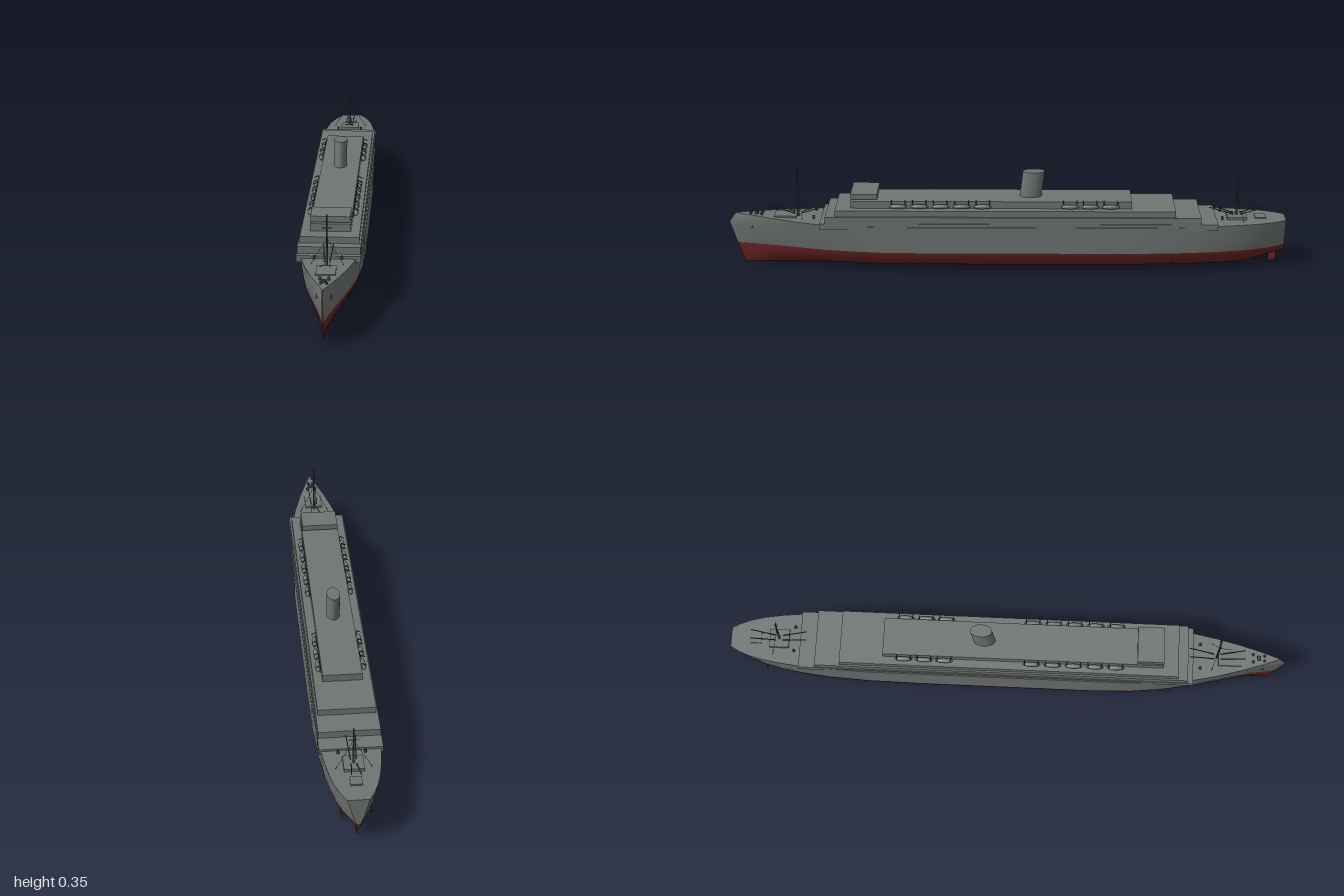
import * as THREE from 'three';

const mat = (name, color, side = THREE.FrontSide) => {
  const m = new THREE.MeshStandardMaterial({ color, side });
  m.name = name;
  return m;
};

// Stations: z, half beam at deck, half beam at waterline, keel y, deck y, fineness of the bilge
const STATIONS = [
  [-1, .036, .006, .052, .175, .8], [-.97, .053, .022, .045, .175, .8],
  [-.93, .069, .044, .031, .175, .8], [-.88, .082, .062, .014, .175, .8],
  [-.82, .092, .076, .002, .175, .8], [-.75, .1, .088, 0, .174, .75],
  [-.65, .106, .1, 0, .172, .65], [-.5, .11, .108, 0, .17, .55],
  [-.3, .11, .11, 0, .17, .5], [0, .11, .11, 0, .17, .5],
  [.3, .11, .11, 0, .17, .5], [.45, .109, .105, 0, .17, .55],
  [.55, .104, .094, 0, .171, .65], [.65, .093, .077, 0, .172, .75],
  [.75, .072, .052, 0, .176, .85], [.85, .046, .028, 0, .181, 1],
  [.93, .023, .012, 0, .185, 1], [1, .001, .001, 0, .187, 1],
];
const WATER = .073;
const LOW = [0, .03, .1, .2, .35, .55, .78, 1];
const HIGH = [0, .25, .5, .7, .85, 1];

// Raked stem: full length near the knuckle, drawn in above and below it
function stemZ(z, y) {
  const k = Math.max(0, (z - .8) / .2);
  const pull = y < .152 ? (.152 - y) * .34 : (y - .152) * .7;
  return z - k * pull;
}
function lowPoint([z, , bw, keel, , e], t, side) {
  const y = keel + (WATER - keel) * t;
  return [side * bw * (1 - (1 - t) ** 2) ** e, y, stemZ(z, y)];
}
function highPoint([z, bd, bw, , deck], t, side) {
  const y = WATER + (deck - WATER) * t;
  return [side * (bw + (bd - bw) * t ** .8), y, stemZ(z, y)];
}

// Smooth surface through rows of points
function loft(rows) {
  const n = rows[0].length, index = [];
  for (let i = 0; i < rows.length - 1; i++)
    for (let j = 0; j < n - 1; j++) {
      const a = i * n + j, b = a + 1, c = a + n, d = c + 1;
      index.push(a, b, c, b, d, c);
    }
  const g = new THREE.BufferGeometry();
  g.setAttribute('position', new THREE.Float32BufferAttribute(rows.flat(2), 3));
  g.setIndex(index);
  g.computeVertexNormals();
  return g;
}

export function createModel() {
  const grey = mat('hullGrey', 0x6f7573, THREE.DoubleSide);
  const red = mat('antifoulingRed', 0x6a2324, THREE.DoubleSide);
  const dark = mat('darkFittings', 0x3c4040);
  const ship = new THREE.Group();
  ship.name = 'oceanLiner';

  const add = (name, geo, material, x = 0, y = 0, z = 0, parent = ship) => {
    const m = new THREE.Mesh(geo, material);
    m.name = name;
    m.position.set(x, y, z);
    parent.add(m);
    return m;
  };
  // Box given by half width and its y and z ranges
  const block = (name, hw, y0, y1, z0, z1, material = grey, x = 0) =>
    add(name, new THREE.BoxGeometry(hw * 2, y1 - y0, z1 - z0), material, x, (y0 + y1) / 2, (z0 + z1) / 2);
  // Straight round bar between two points
  const bar = (name, a, b, r, material = dark, r2 = r) => {
    const p = new THREE.Vector3(...a), d = new THREE.Vector3(...b).sub(p);
    const m = add(name, new THREE.CylinderGeometry(r2, r, d.length(), 6), material);
    m.position.copy(p).addScaledVector(d, .5);
    m.quaternion.setFromUnitVectors(new THREE.Vector3(0, 1, 0), d.normalize());
    return m;
  };

  // Hull
  add('lowerHull', loft(STATIONS.map(s => [
    ...LOW.slice(1).reverse().map(t => lowPoint(s, t, -1)), ...LOW.map(t => lowPoint(s, t, 1)),
  ])), red);
  add('leftHullSide', loft(STATIONS.map(s => HIGH.map(t => highPoint(s, t, 1)))), grey);
  add('rightHullSide', loft(STATIONS.map(s => [...HIGH].reverse().map(t => highPoint(s, t, -1)))), grey);
  add('mainDeck', loft(STATIONS.map(s => [highPoint(s, 1, 1), highPoint(s, 1, -1)])), grey);
  const stern = STATIONS[0];
  add('lowerTransom', loft(LOW.map(t => [lowPoint(stern, t, 1), lowPoint(stern, t, -1)])), red);
  add('transom', loft(HIGH.map(t => [highPoint(stern, t, 1), highPoint(stern, t, -1)])), grey);

  // Stepped superstructure
  block('shelterDeck', .106, .16, .182, -.75, .665);
  block('promenadeDeck', .104, .182, .206, -.69, .645);
  block('upperDeck', .098, .206, .228, -.6, .61);
  block('boatDeckHouse', .068, .228, .254, -.445, .555);
  block('bridgeBase', .025, .254, .26, .475, .54);
  block('bridge', .066, .26, .28, .46, .555);

  // Oval funnel, leaning aft
  const fg = new THREE.CylinderGeometry(1, 1, .094, 32);
  const fp = fg.attributes.position;
  for (let i = 0; i < fp.count; i++)
    fp.setXYZ(i, fp.getX(i) * .0235, fp.getY(i), fp.getZ(i) * .039 - fp.getY(i) * .12);
  fg.computeVertexNormals();
  add('funnel', fg, grey, 0, .3, -.091);

  // Lifeboats with davits
  const hullBoat = new THREE.SphereGeometry(1, 12, 8);
  hullBoat.scale(.0085, .0085, .032);
  const boatZ = [-.37, -.297, -.225, .085, .16, .235, .31, .385];
  for (const side of [-1, 1])
    for (const z of boatZ) {
      add('lifeboat', hullBoat, grey, side * .078, .238, z);
      for (const dz of [-.024, .024]) {
        bar('davitPost', [side * .069, .228, z + dz], [side * .071, .259, z + dz], .0016);
        bar('davitArm', [side * .071, .259, z + dz], [side * .086, .251, z + dz], .0016);
      }
    }

  // Masts with cargo booms and stays
  for (const [name, z, top] of [['foreMast', .75, .355], ['aftMast', -.825, .322]]) {
    bar(name, [0, .17, z], [0, top, z], .0045, dark, .0025);
    bar(name + 'Yard', [-.016, top - .045, z], [.016, top - .045, z], .0014);
    for (const side of [-1, 1]) {
      bar(name + 'Stay', [0, .275, z], [side * (z > 0 ? .053 : .06), .178, z - .02], .0007);
      for (const fore of [-1, 1])
        bar('cargoBoom', [side * .009, .188, z + fore * .012], [side * .016, .217, z + fore * .1], .0018);
    }
  }
  block('foreHatch', .032, .172, .184, .755, .835);
  block('aftMastHouse', .034, .172, .185, -.86, -.79);
  block('aftHatch', .02, .172, .18, -.93, -.89);

  // Deck machinery and anchors
  for (const side of [-1, 1]) {
    for (const [z, x] of [[.88, .014], [.92, .009], [.66 + .03, .045], [-.77, .045]])
      add('capstan', new THREE.CylinderGeometry(.004, .005, .012, 10), dark, side * x, .187, z);
    const anchor = new THREE.Group();
    anchor.name = 'anchor';
    anchor.position.set(side * .0225, .145, .915);
    anchor.rotation.y = side * .3;
    add('anchorShank', new THREE.BoxGeometry(.003, .014, .003), dark, 0, 0, 0, anchor);
    add('anchorFlukes', new THREE.BoxGeometry(.003, .003, .014), dark, 0, -.007, 0, anchor);
    ship.add(anchor);
  }
  add('windlass', new THREE.BoxGeometry(.016, .01, .012), dark, 0, .187, .9);

  // Propellers and rudder
  for (const side of [-1, 1]) {
    const prop = new THREE.Group();
    prop.name = 'propeller';
    prop.position.set(side * .045, .021, -.882);
    const hub = add('propellerHub', new THREE.CylinderGeometry(.003, .004, .012, 10), dark, 0, 0, 0, prop);
    hub.rotation.x = Math.PI / 2;
    for (let i = 0; i < 4; i++) {
      const arm = new THREE.Group();
      arm.rotation.z = i * Math.PI / 2;
      const blade = add('propellerBlade', new THREE.BoxGeometry(.007, .016, .002), dark, 0, .009, 0, arm);
      blade.rotation.y = .5;
      prop.add(arm);
    }
    ship.add(prop);
    bar('propellerShaft', [side * .045, .021, -.882], [side * .042, .026, -.82], .0025, red);
  }
  block('rudder', .004, .01, .06, -.972, -.945, red);

  return ship;
}
